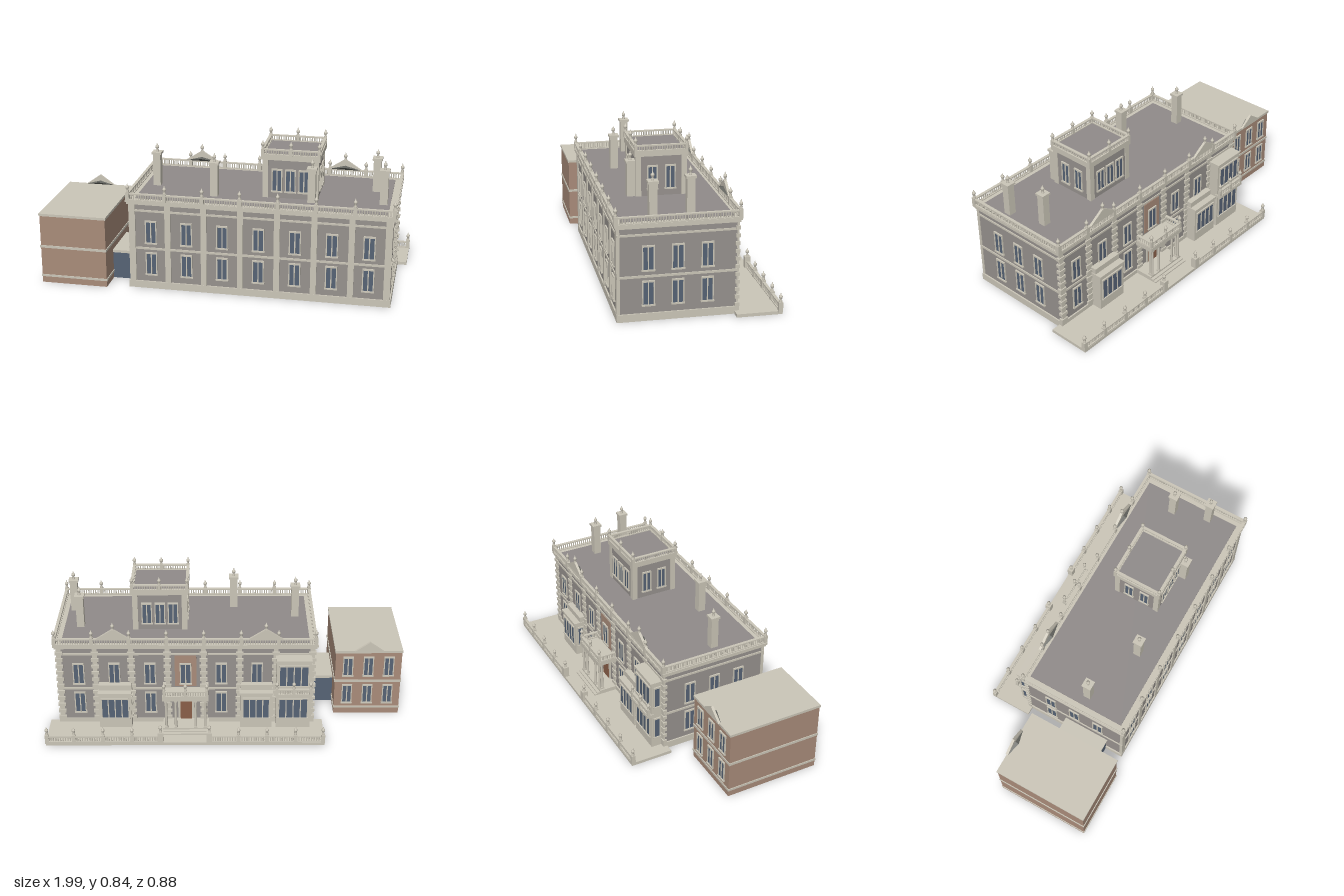
import * as THREE from 'three';
import { mergeGeometries } from 'three/addons/utils/BufferGeometryUtils.js';

export function createModel() {
  const model = new THREE.Group();
  model.name = 'countryHouse';
  const mat = (name, color) => Object.assign(new THREE.MeshStandardMaterial({ color }), { name });
  const stone = mat('paleStone', 0xcbc6b8), wall = mat('greyWall', 0x97928e), roof = mat('greyRoof', 0x908b8a);
  const brick = mat('brick', 0xa98c7a), glass = mat('windowGlass', 0x566375), slate = mat('darkSlate', 0x63645f);
  const wood = mat('doorWood', 0x8a5f48);

  // Pieces are gathered by part name and merged into one mesh each
  const parts = new Map();
  function add(name, material, geo, matrix) {
    const g = geo.index ? geo.toNonIndexed() : geo.clone();
    if (matrix) g.applyMatrix4(matrix);
    if (!parts.has(name)) parts.set(name, { material, list: [] });
    parts.get(name).list.push(g);
  }
  function box(name, material, x0, x1, y0, y1, z0, z1, frame) {
    const g = new THREE.BoxGeometry(x1 - x0, y1 - y0, z1 - z0);
    g.translate((x0 + x1) / 2, (y0 + y1) / 2, (z0 + z1) / 2);
    add(name, material, g, frame);
  }
  const at = (x, y, z, turn = 0) => new THREE.Matrix4().makeRotationY(turn).setPosition(x, y, z);
  const RIGHT = Math.PI / 2, BACK = Math.PI, LEFT = -Math.PI / 2;

  // Urn finial
  const urn = new THREE.LatheGeometry([[0.008, 0], [0.008, 0.01], [0.004, 0.015], [0.01, 0.024], [0.01, 0.032],
    [0.004, 0.038], [0.003, 0.044], [0, 0.05]].map(p => new THREE.Vector2(...p)), 10);
  const finial = (name, x, y, z) => add(name, stone, urn, at(x, y, z));
  function pier(name, x, y0, y1, z, w = 0.02) {
    box(name, stone, x - w / 2, x + w / 2, y0, y1, z - w / 2, z + w / 2);
    finial(name + 'Urns', x, y1, z);
  }

  // Balustrade between two plan points
  const baluster = new THREE.CylinderGeometry(0.0035, 0.0035, 1, 6, 1, true);
  function balustrade(name, xa, za, xb, zb, y, h) {
    const len = Math.hypot(xb - xa, zb - za), turn = Math.atan2(-(zb - za), xb - xa);
    const f = at(xa, y, za, turn), n = Math.max(2, Math.round(len / 0.0135));
    box(name + 'Rails', stone, 0, len, 0, 0.005, -0.008, 0.008, f);
    box(name + 'Rails', stone, 0, len, h - 0.007, h, -0.008, 0.008, f);
    for (let i = 0; i < n; i++) {
      const m = new THREE.Matrix4().makeScale(1, h - 0.01, 1).setPosition((i + 0.5) * len / n, h / 2, 0);
      add(name + 'Balusters', stone, baluster, f.clone().multiply(m));
    }
  }

  // Window with frame, sill and panes, standing on y
  function sash(name, x, y, z, turn, w = 0.064, h = 0.135, panes = 2) {
    const f = at(x, y, z, turn), e = 0.006, pw = (w - e * (panes + 1)) / panes;
    for (let i = 0; i <= panes; i++) {
      const s = -w / 2 + i * (pw + e);
      box(name + 'Frames', stone, s, s + e, 0, h, -0.002, 0.007, f);
    }
    box(name + 'Frames', stone, -w / 2, w / 2, h - 0.009, h, -0.002, 0.008, f);
    box(name + 'Frames', stone, -w / 2 - 0.003, w / 2 + 0.003, 0, 0.008, -0.002, 0.01, f);
    box(name + 'Glass', glass, -w / 2 + 0.003, w / 2 - 0.003, 0.005, h - 0.005, -0.002, 0.003, f);
  }

  // Triangular gable ornament at the back parapet
  function pediment(name, x, y, z, w, h) {
    const s = new THREE.Shape([new THREE.Vector2(-w / 2, 0), new THREE.Vector2(w / 2, 0), new THREE.Vector2(0, h)]);
    add(name, stone, new THREE.ExtrudeGeometry(s, { depth: 0.014, bevelEnabled: false }), at(x, y, z - 0.007));
    const c = new THREE.BufferGeometry();
    const a = [-w / 2, 0, 0.008], b = [w / 2, 0, 0.008], t = [0, h * 0.4, 0.008], p = [0, h * 0.3, 0.03];
    c.setAttribute('position', new THREE.Float32BufferAttribute([a, b, p, b, t, p, t, a, p].flat(), 3));
    c.setAttribute('uv', new THREE.Float32BufferAttribute(new Array(18).fill(0), 2));
    c.computeVertexNormals();
    add(name + 'Backs', slate, c, at(x, y, z));
  }

  // Main block
  const X0 = -0.495, X1 = 0.925, Z0 = -0.215, Z1 = 0.393, step = 0.2046, mid = 0.217;
  box('mainWalls', wall, X0, X1, 0.03, 0.49, Z0, Z1);
  const ring = (name, y0, y1, o) => box(name, stone, X0 - o, X1 + o, y0, y1, Z0 - o, Z1 + o);
  ring('plinth', 0, 0.04, 0.008);
  ring('stringCourses', 0.228, 0.24, 0.005);
  ring('stringCourses', 0.446, 0.457, 0.005);
  ring('cornice', 0.488, 0.5, 0.012);
  ring('cornice', 0.5, 0.512, 0.018);
  box('mainRoof', roof, -0.467, 0.898, 0.512, 0.515, -0.2, 0.37);

  // Front pilasters, back rusticated quoins, roof edge piers
  for (let i = 0; i < 8; i++) {
    const x = mid + (i - 3.5) * step * 0.975;
    const px = mid + (i - 3.5) * step;
    const w = i % 7 ? 0.016 : 0.018;
    const edge = i === 0 ? X0 + w - 0.003 : i === 7 ? X1 - w + 0.003 : x;
    box('frontPilasters', stone, edge - w, edge + w, 0.04, 0.49, Z1 - 0.01, Z1 + 0.007);
    for (let k = 0; k < 22; k++) {
      const q = k % 2 ? 0.013 : 0.021, y = 0.04 + k * 0.0204, end = i % 7 === 0;
      const c = i === 0 ? X0 + 0.012 : i === 7 ? X1 - 0.012 : x;
      box('quoins', stone, c - q, c + q, y, y + 0.0185, Z0 - (k % 2 ? 0.006 : 0.01), Z0 + (end ? q - 0.008 : 0.005));
    }
    pier('roofPiers', px, 0.512, 0.556, 0.402);
    pier('roofPiers', px, 0.512, 0.556, -0.224);
  }
  for (const z of [0.402, -0.224]) balustrade('roof', -0.499, z, 0.933, z, 0.512, 0.039);
  for (const x of [-0.499, 0.933]) balustrade('roof', x, -0.224, x, 0.402, 0.512, 0.039);

  // Windows of the main block
  for (let i = 0; i < 7; i++) {
    const x = mid + (i - 3) * 0.1975;
    for (const y of [0.077, 0.261]) {
      sash('mainWindow', x, y, Z1, 0);
      const covered = i === 0 || (y < 0.2 && [1, 3, 5].includes(i));
      if (!covered) sash('mainWindow', x, y, Z0 - (i === 3 ? 0.004 : 0), BACK);
    }
  }
  box('centralPanel', brick, mid - 0.06, mid + 0.06, 0.25, 0.44, Z0 - 0.004, Z0);
  for (const z of [0.24, 0.09, -0.06]) for (const y of [0.077, 0.261]) {
    sash('mainWindow', X1, y, z, RIGHT);
    if (y > 0.2 || z < 0) sash('mainWindow', X0, y, z, LEFT);
  }

  // Pediments on the back parapet
  for (const x of [-0.225, 0.61]) {
    pediment('pediments', x, 0.55, -0.226, 0.19, 0.062);
    finial('pedimentUrns', x, 0.602, -0.226);
  }

  // Chimneys
  for (const [x, z] of [[-0.4, 0.13], [-0.052, 0.248], [0.48, 0.248], [0.808, 0.003], [0.862, 0.205]]) {
    box('chimneys', stone, x - 0.021, x + 0.021, 0.51, 0.697, z - 0.021, z + 0.021);
    box('chimneyCaps', stone, x - 0.027, x + 0.027, 0.695, 0.707, z - 0.027, z + 0.027);
    finial('chimneyUrns', x, 0.706, z);
  }

  // Roof tower
  box('towerWalls', wall, 0.212, 0.508, 0.51, 0.735, -0.043, 0.222);
  box('towerCornice', stone, 0.2, 0.52, 0.73, 0.757, -0.052, 0.232);
  box('towerRoof', roof, 0.218, 0.502, 0.757, 0.759, -0.034, 0.214);
  for (const x of [0.208, 0.482]) for (const z of [-0.047, 0.196])
    box('towerPilasters', stone, x, x + 0.03, 0.51, 0.73, z, z + 0.03);
  for (const x of [0.208, 0.36, 0.512]) for (const z of [-0.044, 0.224]) pier('towerPiers', x, 0.757, 0.787, z, 0.017);
  for (const z of [-0.044, 0.224]) balustrade('tower', 0.208, z, 0.512, z, 0.757, 0.033);
  for (const x of [0.208, 0.512]) balustrade('tower', x, -0.044, x, 0.224, 0.757, 0.033);
  for (const d of [-0.073, 0, 0.073]) {
    sash('towerWindow', 0.36 + d, 0.548, 0.222, 0, 0.058, 0.132);
    sash('towerWindow', 0.36 + d, 0.548, -0.043, BACK, 0.058, 0.132);
  }
  for (const z of [0.137, 0.042]) {
    sash('towerWindow', 0.508, 0.548, z, RIGHT, 0.056, 0.132);
    sash('towerWindow', 0.212, 0.548, z, LEFT, 0.056, 0.132);
  }

  // Terrace with balustrade and gate piers
  box('terrace', stone, -0.55, 0.985, 0, 0.017, -0.438, -0.2);
  const posts = [-0.54, -0.388, -0.231, -0.075, 0.086, 0.353, 0.51, 0.67, 0.83, 0.978];
  posts.forEach((x, i) => {
    const gate = i === 4 || i === 5;
    pier('terracePiers', x, 0.01, gate ? 0.08 : 0.063, -0.428, gate ? 0.032 : 0.022);
    if (i < 9 && i !== 4) balustrade('terrace', x, -0.428, posts[i + 1], -0.428, 0.017, 0.038);
  });

  // Entrance portico, steps and door
  box('porticoBase', stone, 0.09, 0.345, 0, 0.04, -0.325, Z0);
  box('porticoSteps', stone, 0.09, 0.345, 0, 0.031, -0.343, -0.32);
  box('porticoSteps', stone, 0.09, 0.345, 0, 0.024, -0.36, -0.32);
  for (const s of [-1, 1]) {
    for (const [dx, z] of [[0.055, -0.318], [0.108, -0.318], [0.108, -0.302]]) {
      const x = mid + s * dx;
      add('porticoColumns', stone, new THREE.CylinderGeometry(0.006, 0.0075, 0.175, 12), at(x, 0.1275, z));
      for (const y of [0.04, 0.208]) box('columnBlocks', stone, x - 0.009, x + 0.009, y, y + 0.008, z - 0.009, z + 0.009);
    }
    balustrade('portico', mid + s * 0.118, -0.32, mid + s * 0.118, -0.22, 0.24, 0.036);
  }
  box('porticoEntablature', stone, 0.09, 0.345, 0.215, 0.24, -0.33, Z0);
  balustrade('portico', 0.099, -0.32, 0.335, -0.32, 0.24, 0.036);
  for (const x of [0.099, mid, 0.335]) pier('porticoPiers', x, 0.24, 0.278, -0.32, 0.016);
  box('doorSurround', stone, mid - 0.045, mid + 0.045, 0.04, 0.2, Z0 - 0.008, Z0);
  box('frontDoor', wood, mid - 0.032, mid + 0.032, 0.04, 0.188, Z0 - 0.012, Z0);

  // Two-storey bay with a balcony, and two single-storey bays
  function bay(x0, x1, top, floors) {
    const c = (x0 + x1) / 2;
    box('bayWalls', stone, x0, x1, 0, top, -0.281, Z0);
    box('bayCornices', stone, x0 - 0.004, x1 + 0.004, top - 0.012, top, -0.288, Z0);
    for (const y of floors) {
      sash('bayWindow', c, y, -0.281, BACK, x1 - x0 - 0.024, 0.135, 4);
      sash('bayWindow', x0, y, -0.25, LEFT, 0.04, 0.135, 1);
    }
  }
  bay(-0.475, -0.285, 0.445, [0.075, 0.28]);
  box('balconySlab', stone, -0.48, -0.28, 0.225, 0.24, -0.31, -0.27);
  balustrade('balcony', -0.473, -0.3, -0.287, -0.3, 0.24, 0.036);
  for (const x of [-0.473, -0.38, -0.287]) pier('balconyPiers', x, 0.24, 0.278, -0.3, 0.016);
  for (const [a, b] of [[-0.262, -0.086], [0.52, 0.7]]) {
    bay(a, b, 0.24, [0.075]);
    box('bayParapets', stone, a, b, 0.24, 0.272, -0.25, Z0);
  }

  // Glazed link to the wing
  box('linkWalls', glass, -0.63, -0.49, 0, 0.157, 0.035, 0.295);
  box('linkRoof', stone, -0.63, -0.49, 0.155, 0.17, 0.03, 0.302);

  // Brick wing
  box('wingWalls', brick, -0.996, -0.624, 0, 0.4, -0.103, 0.433);
  for (const [y0, y1] of [[0.036, 0.048], [0.208, 0.222], [0.394, 0.408]])
    box('wingBands', stone, -1, -0.62, y0, y1, -0.107, 0.437);
  for (const x of [-0.925, -0.81, -0.695]) for (const y of [0.068, 0.245]) sash('wingWindow', x, y, -0.103, BACK, 0.058, 0.125);
  pediment('wingPediment', -0.81, 0.408, -0.107, 0.16, 0.057);

  for (const [name, { material, list }] of parts) {
    const mesh = new THREE.Mesh(mergeGeometries(list), material);
    mesh.name = name;
    model.add(mesh);
  }
  return model;
}
